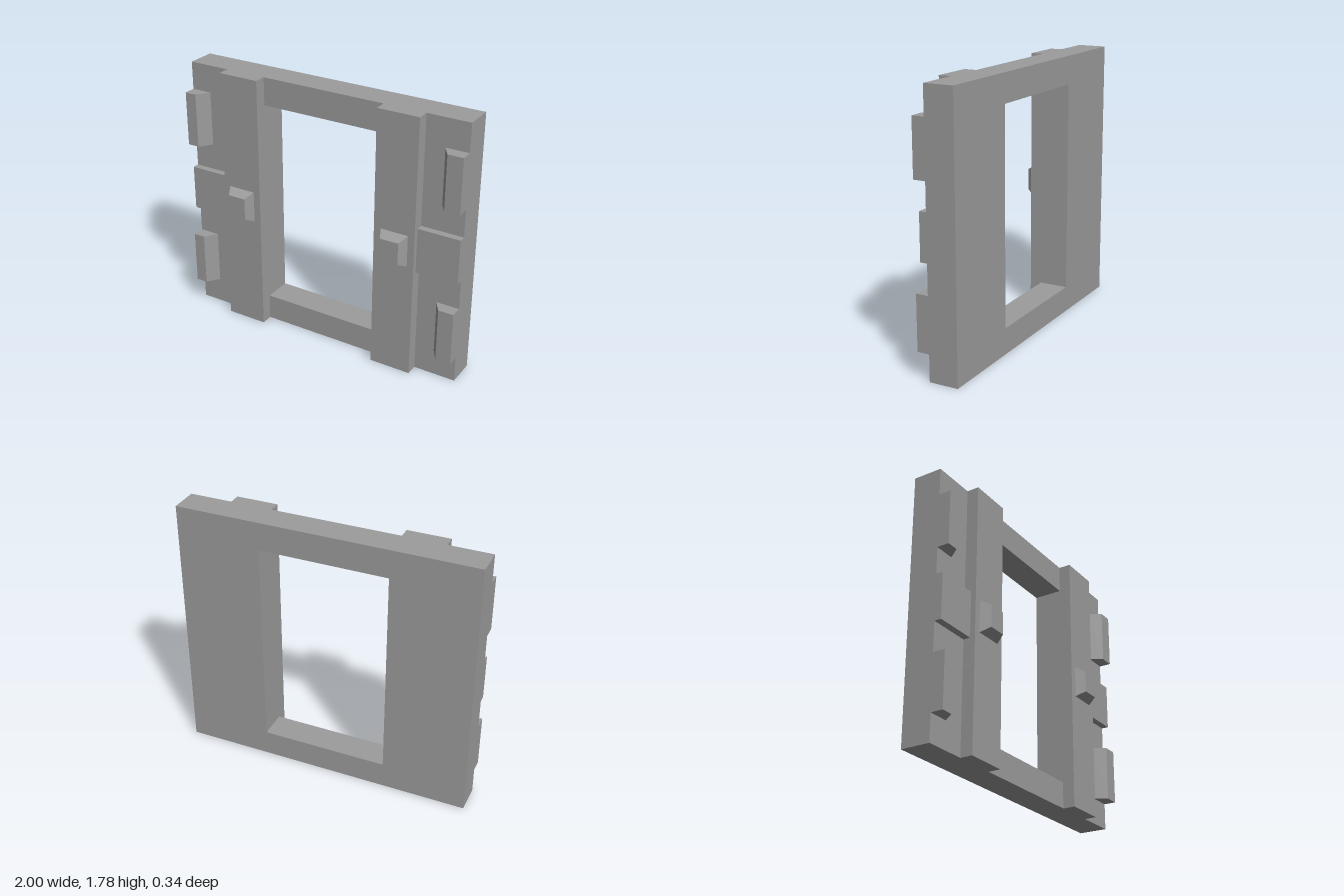
import * as THREE from 'three';

const HEIGHT = 1.785, BACK = -0.17, FACE = 0.025, PILLAR_FACE = 0.107;

export function createModel() {
  const group = new THREE.Group();
  const material = new THREE.MeshStandardMaterial({ color: 0x9c9c9c, flatShading: true });

  const add = (name, geometry) => {
    const mesh = new THREE.Mesh(geometry, material);
    mesh.name = name;
    group.add(mesh);
  };

  // Box given by its limits on each axis
  const box = (x0, x1, y0, y1, z0, z1) =>
    new THREE.BoxGeometry(Math.abs(x1 - x0), y1 - y0, z1 - z0)
      .translate((x0 + x1) / 2, (y0 + y1) / 2, (z0 + z1) / 2);

  // Flat panel with the tall rectangular opening
  const outline = new THREE.Shape([[-1, 0], [1, 0], [1, HEIGHT], [-1, HEIGHT]]
    .map(([x, y]) => new THREE.Vector2(x, y)));
  outline.holes.push(new THREE.Path([[-0.43, 0.177], [-0.43, 1.597], [0.43, 1.597], [0.43, 0.177]]
    .map(([x, y]) => new THREE.Vector2(x, y))));
  add('frame', new THREE.ExtrudeGeometry(outline, { depth: FACE - BACK, bevelEnabled: false })
    .translate(0, 0, BACK));

  // Edge clip: outer side square, inner side sloped, drawn in x-z and extruded along y
  const clip = (side, base, tip, y0, y1) => {
    const shape = new THREE.Shape([[1, FACE], [1, PILLAR_FACE], [tip, PILLAR_FACE], [base, FACE]]
      .map(([x, z]) => new THREE.Vector2(side * x, -z)));
    return new THREE.ExtrudeGeometry(shape, { depth: y1 - y0, bevelEnabled: false })
      .rotateX(-Math.PI / 2).translate(0, y0, 0);
  };

  // Stud: box whose front face is pulled in on all four sides
  const stud = (x) => {
    const geometry = box(x - 0.095, x + 0.095, 0.785, 1.0, PILLAR_FACE, 0.17);
    const p = geometry.attributes.position, cy = 0.8925;
    for (let i = 0; i < p.count; i++) {
      if (p.getZ(i) < 0.15) continue;
      p.setX(i, x + Math.sign(p.getX(i) - x) * 0.0625);
      p.setY(i, cy + Math.sign(p.getY(i) - cy) * 0.074);
    }
    geometry.computeVertexNormals();
    return geometry;
  };

  // The two sides match except for a small offset of clips and studs
  const sides = [
    { side: 1, word: 'left', base: 0.845, tip: 0.897, studX: 0.572 },
    { side: -1, word: 'right', base: 0.86, tip: 0.92, studX: -0.573 },
  ];
  for (const { side, word, base, tip, studX } of sides) {
    add(`${word}Pillar`, box(side * 0.43, side * 0.713, 0, HEIGHT, FACE, PILLAR_FACE));
    add(`${word}Stud`, stud(studX));
    add(`${word}MiddlePad`, box(side * 0.713, side, 0.74, 1.047, FACE, 0.072));
    add(`${word}LowerClip`, clip(side, base, tip, 0.177, 0.543));
    add(`${word}UpperClip`, clip(side, base, tip, 1.228, 1.597));
  }
  return group;
}
